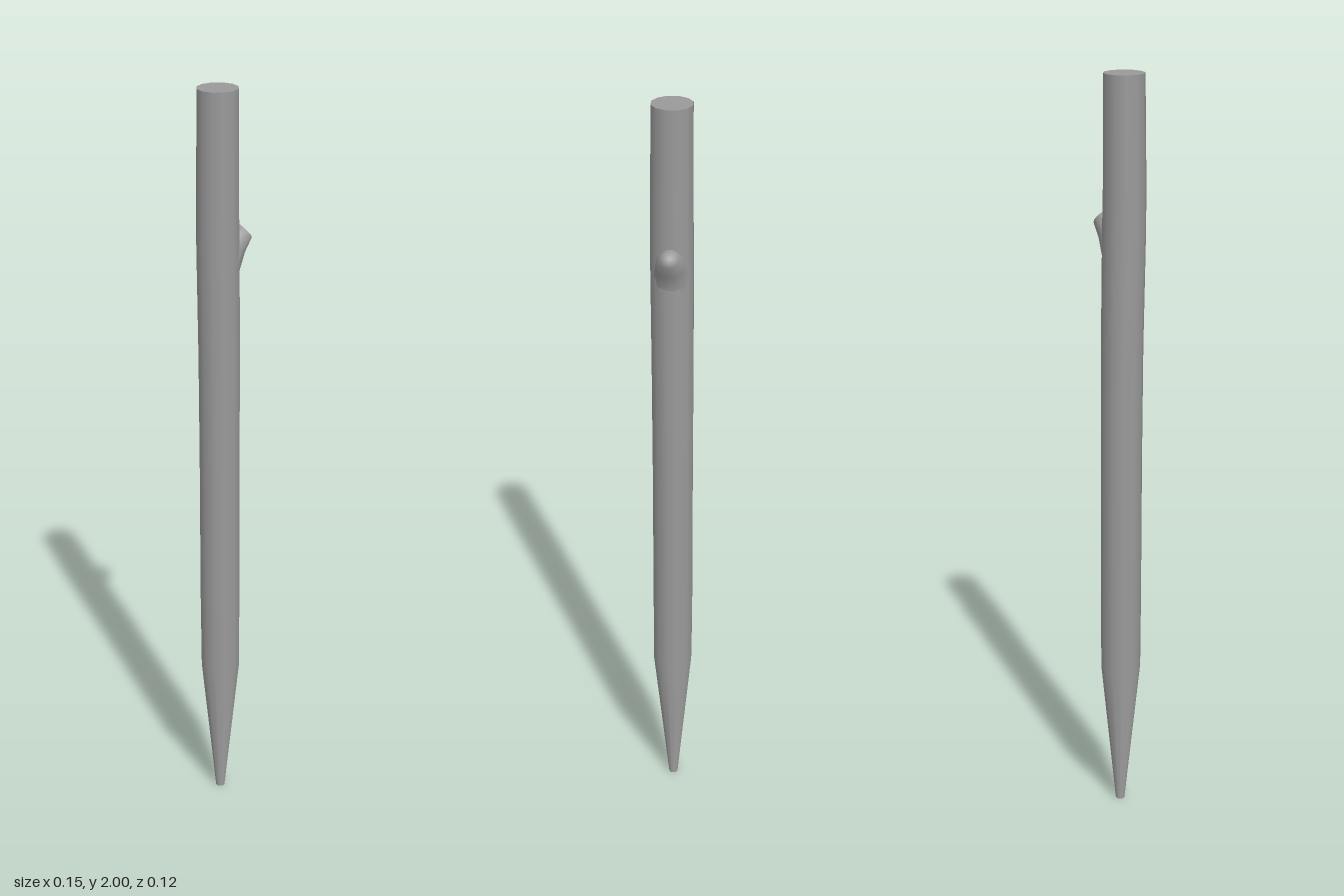
import * as THREE from 'three';
import { mergeVertices } from 'three/addons/utils/BufferGeometryUtils.js';

const material = new THREE.MeshStandardMaterial({ color: 0x9a9a9a });

// Horizontal hinge about which the branch rings lean outward
const hinge = new THREE.Vector3(-0.2, 0, -0.98).normalize();

// Capped 12-sided tube through rings [x, y, z, radius, lean in degrees], bottom to top.
function loft(rings) {
  const rows = rings.length - 1;
  const geometry = new THREE.CylinderGeometry(1, 1, rows, 12, rows);
  const pos = geometry.attributes.position;
  const normal = geometry.attributes.normal;
  const turn = new THREE.Quaternion();
  const v = new THREE.Vector3();
  for (let i = 0; i < pos.count; i++) {
    v.fromBufferAttribute(pos, i);
    const [x, y, z, r, lean = 0] = rings[Math.round(v.y + rows / 2)];
    turn.setFromAxisAngle(hinge, THREE.MathUtils.degToRad(lean));
    v.set(v.x * r, 0, v.z * r).applyQuaternion(turn);
    pos.setXYZ(i, x + v.x, y + v.y, z + v.z);
    v.fromBufferAttribute(normal, i).applyQuaternion(turn);
    normal.setXYZ(i, v.x, v.y, v.z);
  }
  return geometry;
}

// Welds the caps to the sides so the shading runs smoothly over the rim
function soften(geometry) {
  geometry.deleteAttribute('normal');
  geometry.deleteAttribute('uv');
  const welded = mergeVertices(geometry);
  welded.computeVertexNormals();
  return welded;
}

function part(name, geometry) {
  const mesh = new THREE.Mesh(geometry, material);
  mesh.name = name;
  return mesh;
}

export function createModel() {
  const group = new THREE.Group();
  group.name = 'woodenStake';

  // Slightly wandering shaft, tapering to a blunt point at the foot
  group.add(part('shaft', loft([
    [-0.013, 0, -0.004, 0.012],
    [-0.013, 0.4, -0.002, 0.053],
    [-0.014, 0.6, -0.002, 0.054],
    [-0.015, 1.0, -0.001, 0.054],
    [-0.016, 1.3, 0, 0.055],
    [-0.02, 1.6, 0.003, 0.056],
    [-0.021, 1.72, 0.004, 0.055],
    [-0.02, 2, 0.003, 0.053],
  ])));

  // Cut-off side branch, bending out of the shaft
  group.add(part('branchStub', soften(loft([
    [-0.018, 1.46, 0.002, 0.05, 0],
    [-0.01, 1.55, 0, 0.05, 25],
    [0.021, 1.599, -0.006, 0.039, 42],
    [0.055, 1.627, -0.014, 0.025, 50],
  ]))));

  return group;
}
